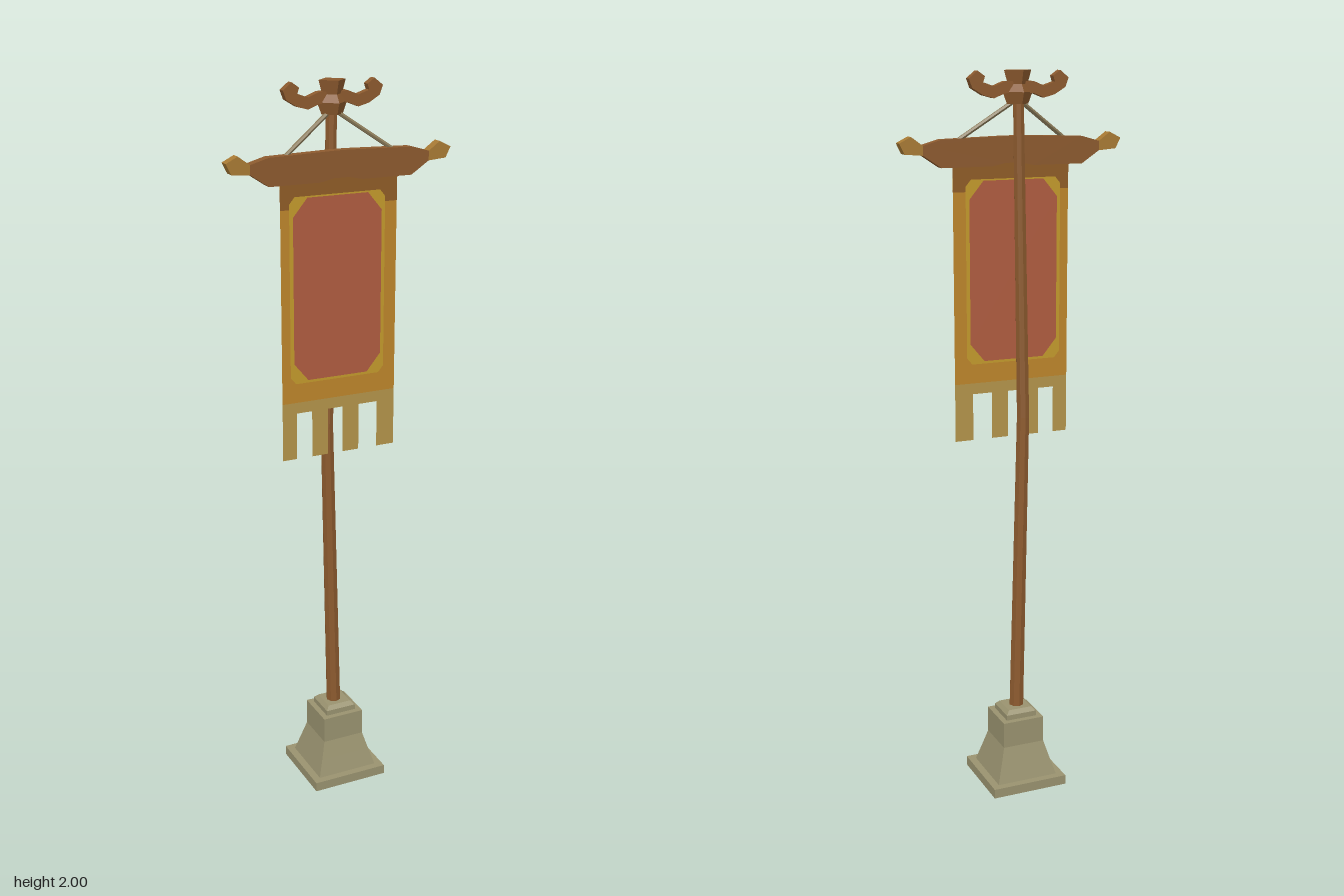
import * as THREE from 'three';

const mat = (name, color, extra = {}) => {
  const m = new THREE.MeshStandardMaterial({ color, flatShading: true, ...extra });
  m.name = name;
  return m;
};

export function createModel() {
  const group = new THREE.Group();
  const both = { side: THREE.DoubleSide };
  const stone = mat('stone', 0x99926f);
  const wood = mat('wood', 0x8c5a2e);
  const rope = mat('rope', 0x8a7a58);
  const gilt = mat('gilt wood', 0xa87a34);
  const orange = mat('orange cloth', 0xbd852b, both);
  const header = mat('brown cloth', 0x8f5c26, both);
  const yellow = mat('yellow trim', 0xc39a2c, both);
  const red = mat('red cloth', 0xb05c40, both);
  const pale = mat('pale cloth', 0xb3944a, both);

  const add = (name, geometry, material) => {
    const mesh = new THREE.Mesh(geometry, material);
    mesh.name = name;
    group.add(mesh);
    return mesh;
  };
  const toShape = pts => new THREE.Shape(pts.map(p => new THREE.Vector2(...p)));
  const mirrored = half => [...half, ...half.map(([x, y]) => [-x, y]).reverse()];
  const slab = (pts, z0, z1) =>
    new THREE.ExtrudeGeometry(toShape(pts), { depth: z1 - z0, bevelEnabled: false }).translate(0, 0, z0);
  // Four-sided turned form; the profile runs from bottom to top
  const turned = pts => new THREE.LatheGeometry(pts.map(p => new THREE.Vector2(...p)), 4);

  // Square stone foot: plinth, flared body and stepped cap
  const foot = [[0, 0], [0.11, 0], [0.11, 0.027], [0.089, 0.027], [0.075, 0.075], [0.061, 0.125],
    [0.061, 0.2], [0.045, 0.2], [0.045, 0.215], [0.035, 0.226], [0, 0.226]];
  add('stoneFoot', turned(foot.map(([r, y]) => [r * Math.SQRT2, y])).rotateY(Math.PI / 4), stone)
    .position.x = 0.007;

  // Slightly bowed, tapering pole
  const pole = new THREE.CylinderGeometry(0.015, 0.021, 1.72, 8, 2).translate(0, 1.08, 0);
  const p = pole.attributes.position;
  for (let i = 0; i < p.count; i++) {
    const y = p.getY(i);
    p.setX(i, p.getX(i) + (y < 0.6 ? 0.004 : y < 1.5 ? -0.016 : -0.002));
  }
  add('pole', pole, wood);

  // Finial block with its curled arms
  add('finial', turned([[0, 1.915], [0.03, 1.915], [0.042, 1.945], [0.028, 1.965], [0.038, 2], [0, 2]]), wood);
  add('finialArms', slab(mirrored([[0.01, 1.943], [0.04, 1.942], [0.07, 1.93], [0.1, 1.938], [0.13, 1.956],
    [0.139, 1.98], [0.115, 1.999], [0.095, 1.985], [0.1, 1.97], [0.07, 1.96], [0.04, 1.972], [0.01, 1.972]]),
  -0.012, 0.009), wood);

  // Crossbar with flared ends
  add('crossbar', slab(mirrored([[0.02, 1.763], [0.06, 1.755], [0.2, 1.755], [0.25, 1.788],
    [0.25, 1.813], [0.2, 1.827], [0.02, 1.832]]), 0.03, 0.057), wood);
  for (const s of [-1, 1]) {
    const knob = [[0.25, 1.788], [0.3, 1.792], [0.314, 1.82], [0.282, 1.836], [0.25, 1.813]];
    add(s > 0 ? 'leftKnob' : 'rightKnob', slab(knob.map(([x, y]) => [s * x, y]), 0.03, 0.057), gilt);

    // Hanging rope from the pole top to the bar
    const path = new THREE.LineCurve3(new THREE.Vector3(0, 1.928, 0), new THREE.Vector3(s * 0.15, 1.824, 0.042));
    add(s > 0 ? 'leftRope' : 'rightRope', new THREE.TubeGeometry(path, 1, 0.006, 6), rope);
  }

  // Banner: one cloth sheet, with painted layers on both faces
  const z = 0.044;
  const rect = (x0, x1, y0, y1) => [[x0, y0], [x1, y0], [x1, y1], [x0, y1]];
  const octagon = (x0, x1, y0, y1, c) => [[x0 + c, y0], [x1 - c, y0], [x1, y0 + c * 1.2], [x1, y1 - c * 1.2],
    [x1 - c, y1], [x0 + c, y1], [x0, y1 - c * 1.2], [x0, y0 + c * 1.2]];
  const sheet = (name, pts, material, dz = 0) =>
    add(name, new THREE.ShapeGeometry(toShape(pts)).translate(0, 0, z + dz), material);
  sheet('bannerCloth', rect(-0.166, 0.165, 1.175, 1.77), orange);
  sheet('bannerHem', rect(-0.166, 0.165, 1.145, 1.175), pale);
  for (const [x0, x1] of [[-0.166, -0.125], [-0.08, -0.033], [0.01, 0.058], [0.113, 0.165]])
    sheet('bannerTab', rect(x0, x1, 1.016, 1.145), pale);
  for (const s of [-1, 1]) {
    sheet('bannerHeader', rect(-0.166, 0.165, 1.69, 1.77), header, s * 0.001);
    sheet('bannerTrim', octagon(-0.142, 0.13, 1.228, 1.722, 0.015), yellow, s * 0.002);
    sheet('bannerPanel', octagon(-0.132, 0.12, 1.235, 1.718, 0.04), red, s * 0.003);
  }
  return group;
}
